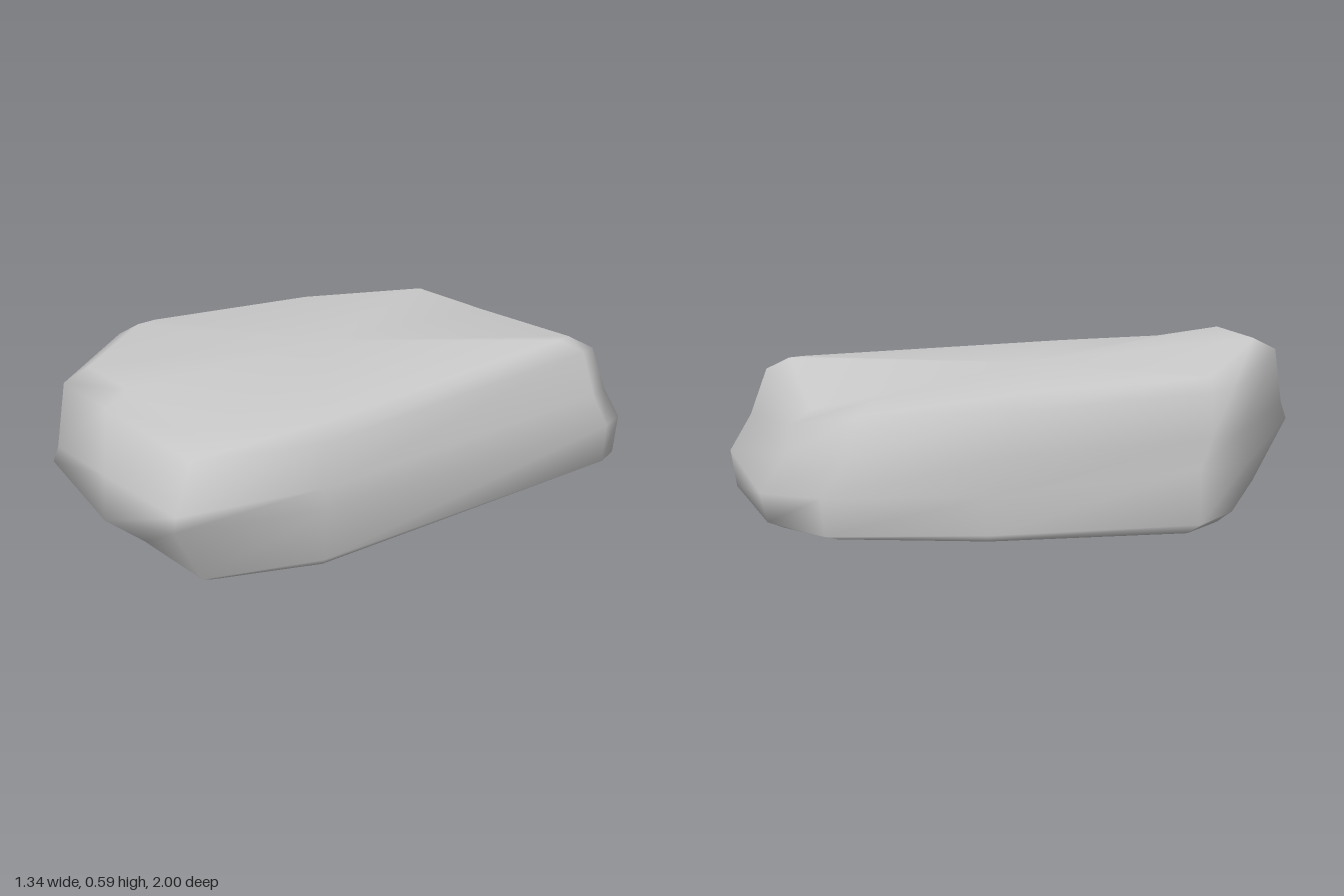
import * as THREE from 'three';

// Outline rings of the boulder, back tip first, then round by the left flank (+x), front and right flank.
const low = [
  [-0.02, 0.08, -0.98], [0.60, 0.05, -0.89], [0.67, 0.08, -0.75], [0.56, 0.06, 0.48],
  [0.38, 0.04, 0.84], [0.05, 0.04, 0.84], [-0.26, 0.06, 0.84], [-0.58, 0.06, 0.52],
  [-0.67, 0.06, 0.33], [-0.48, 0.07, -0.38], [-0.24, 0.07, -0.86],
];
const ledge = [
  [-0.01, 0.18, -1.0], [0.60, 0.19, -0.91], [0.67, 0.22, -0.76], [0.57, 0.25, 0.48],
  [0.41, 0.26, 0.96], [0.05, 0.17, 0.99], [-0.24, 0.28, 1.0], [-0.61, 0.24, 0.56],
  [-0.63, 0.24, 0.35], [-0.47, 0.20, -0.39], [-0.24, 0.20, -0.87],
];
const waist = [
  [-0.03, 0.31, -0.91], [0.59, 0.32, -0.83], [0.64, 0.34, -0.71], [0.56, 0.32, 0.48],
  [0.41, 0.31, 0.95], [0.05, 0.33, 0.98], [-0.22, 0.34, 0.99], [-0.65, 0.36, 0.50],
  [-0.65, 0.35, 0.38], [-0.49, 0.33, -0.33], [-0.27, 0.32, -0.80],
];
const rim = [
  [-0.04, 0.41, -0.90], [0.57, 0.49, -0.77], [0.58, 0.49, -0.71], [0.55, 0.47, 0.47],
  [0.40, 0.48, 0.88], [0.05, 0.56, 0.96], [-0.24, 0.55, 0.94], [-0.62, 0.50, 0.48],
  [-0.62, 0.50, 0.40], [-0.49, 0.48, -0.28], [-0.28, 0.47, -0.75],
];

// Inset rings that round the edges into the gently tilted base and crown
const baseY = (z) => 0.028 - 0.025 * z;
const base = low.map(([x, , z]) => [x * 0.92, baseY(z), z * 0.94]);
const crown = rim.map(([x, y, z]) => [x * 0.9, Math.min(y + 0.045, 0.6), z * 0.91]);

// Joins stacked rings into one closed smooth skin
function skin(rings, bottomCentre, topCentre) {
  const n = rings[0].length;
  const points = [...rings.flat(), bottomCentre, topCentre];
  const bottom = rings.length * n, top = bottom + 1, last = (rings.length - 1) * n;
  const index = [];
  for (let i = 0; i < n; i++) {
    const j = (i + 1) % n;
    for (let r = 0; r < rings.length - 1; r++) {
      const a = r * n + i, b = r * n + j;
      index.push(b, a, a + n, b, a + n, b + n);
    }
    index.push(bottom, i, j, top, last + j, last + i);
  }
  const geometry = new THREE.BufferGeometry();
  geometry.setAttribute('position', new THREE.Float32BufferAttribute(points.flat(), 3));
  geometry.setIndex(index);
  geometry.computeVertexNormals();
  return geometry;
}

export function createModel() {
  const group = new THREE.Group();
  group.name = 'boulder';
  const material = new THREE.MeshStandardMaterial({ color: 0xcccccc });
  const rock = new THREE.Mesh(
    skin([base, low, ledge, waist, rim, crown], [0, baseY(0), 0], [0, 0.54, 0]),
    material,
  );
  rock.name = 'rock';
  group.add(rock);
  return group;
}
